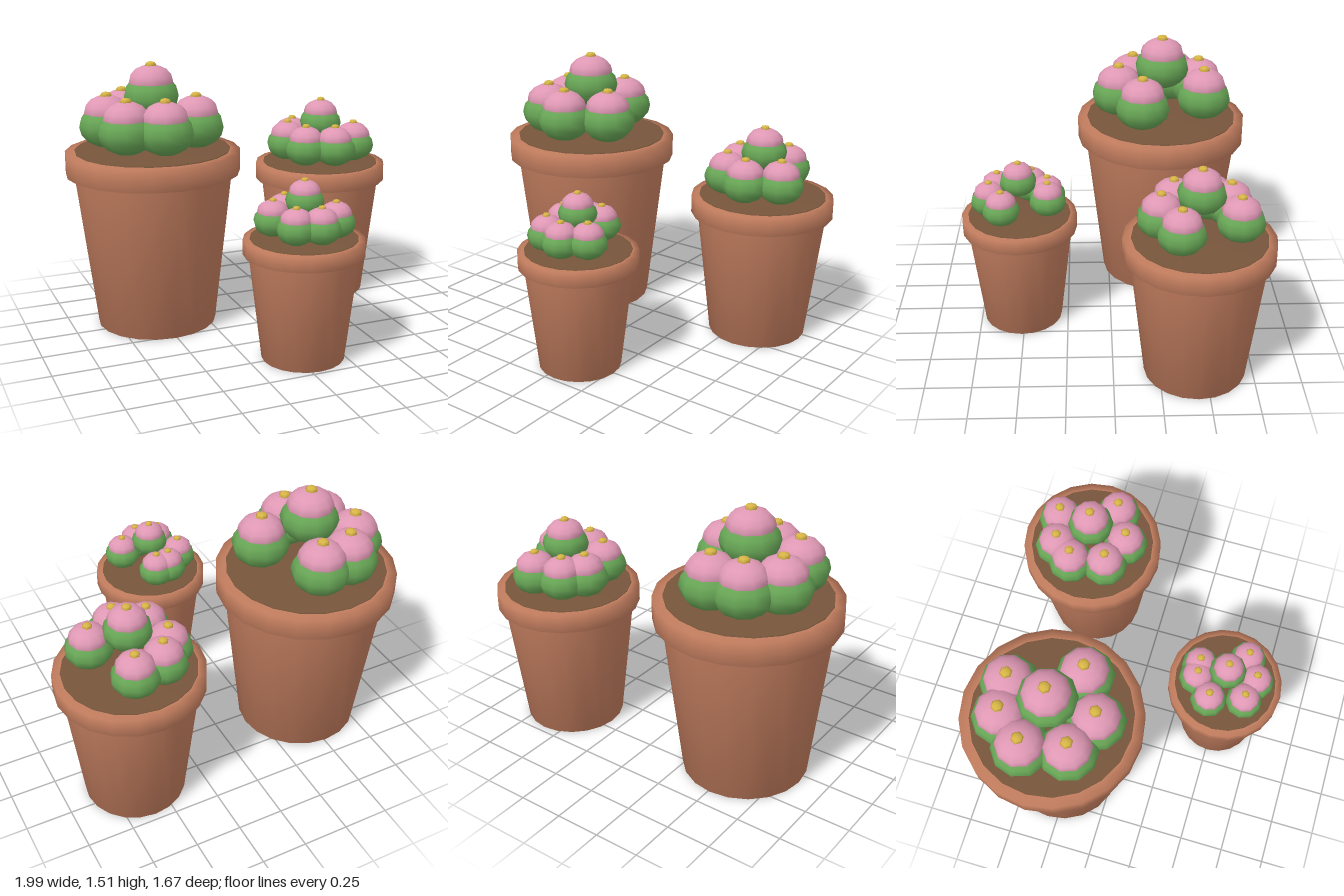
import * as THREE from 'three';

const mat = (name, color) => {
  const m = new THREE.MeshStandardMaterial({ color });
  m.name = name;
  return m;
};

export function createModel() {
  const clay = mat('terracotta', 0xc47e5f);
  const earth = mat('soil', 0x77553b);
  const green = mat('cactusGreen', 0x68a656);
  const pink = mat('blossomPink', 0xdf98b4);
  const yellow = mat('pollenYellow', 0xd8b546);

  const lathe = (pts) => new THREE.LatheGeometry(pts.map(([x, y]) => new THREE.Vector2(x, y)), 20);
  const potGeo = lathe([[0, 0], [0.34, 0], [0.445, 0.885], [0.49, 0.885], [0.49, 1.01], [0.43, 1.01]]);
  const soilGeo = lathe([[0.435, 1.0], [0.435, 1.02], [0, 1.02]]);

  // Squashed low-poly balls shared by every cactus
  const ball = (r, h, y, w, rows) =>
    new THREE.SphereGeometry(1, w, rows).scale(r, h, r).translate(0, y, 0);
  const bodyGeo = ball(0.157, 0.122, 0, 10, 8);
  const capGeo = ball(0.127, 0.092, 0.078, 10, 8);
  const budGeo = ball(0.034, 0.022, 0.168, 6, 4);

  const add = (parent, name, geo, material) => {
    const mesh = new THREE.Mesh(geo, material);
    mesh.name = name;
    parent.add(mesh);
  };

  const cactus = (name, x, y, z) => {
    const g = new THREE.Group();
    g.name = name;
    add(g, 'cactusBody', bodyGeo, green);
    add(g, 'blossomCap', capGeo, pink);
    add(g, 'blossomCentre', budGeo, yellow);
    g.position.set(x, y, z);
    return g;
  };

  // One pot: rim and body, soil, a ring of cacti and a raised one in the middle
  const planter = (name, x, z, scale, angles) => {
    const g = new THREE.Group();
    g.name = name;
    add(g, 'pot', potGeo, clay);
    add(g, 'soil', soilGeo, earth);
    g.add(cactus('middleCactus', 0, 1.317, 0));
    for (const deg of angles) {
      const a = THREE.MathUtils.degToRad(deg);
      g.add(cactus('ringCactus', 0.25 * Math.cos(a), 1.152, 0.25 * Math.sin(a)));
    }
    g.scale.setScalar(scale);
    g.position.set(x, 0, z);
    return g;
  };

  const model = new THREE.Group();
  model.name = 'pottedCacti';
  model.add(
    planter('largePlanter', -0.51, -0.31, 1, [29, 90, 140, 198, 244, 286]),
    planter('mediumPlanter', 0.6, -0.44, 0.805, [33, 90, 141, 199, 235, 284]),
    planter('smallPlanter', 0.048, 0.51, 0.655, [33, 83, 130, 203, 254, 281]),
  );
  return model;
}
